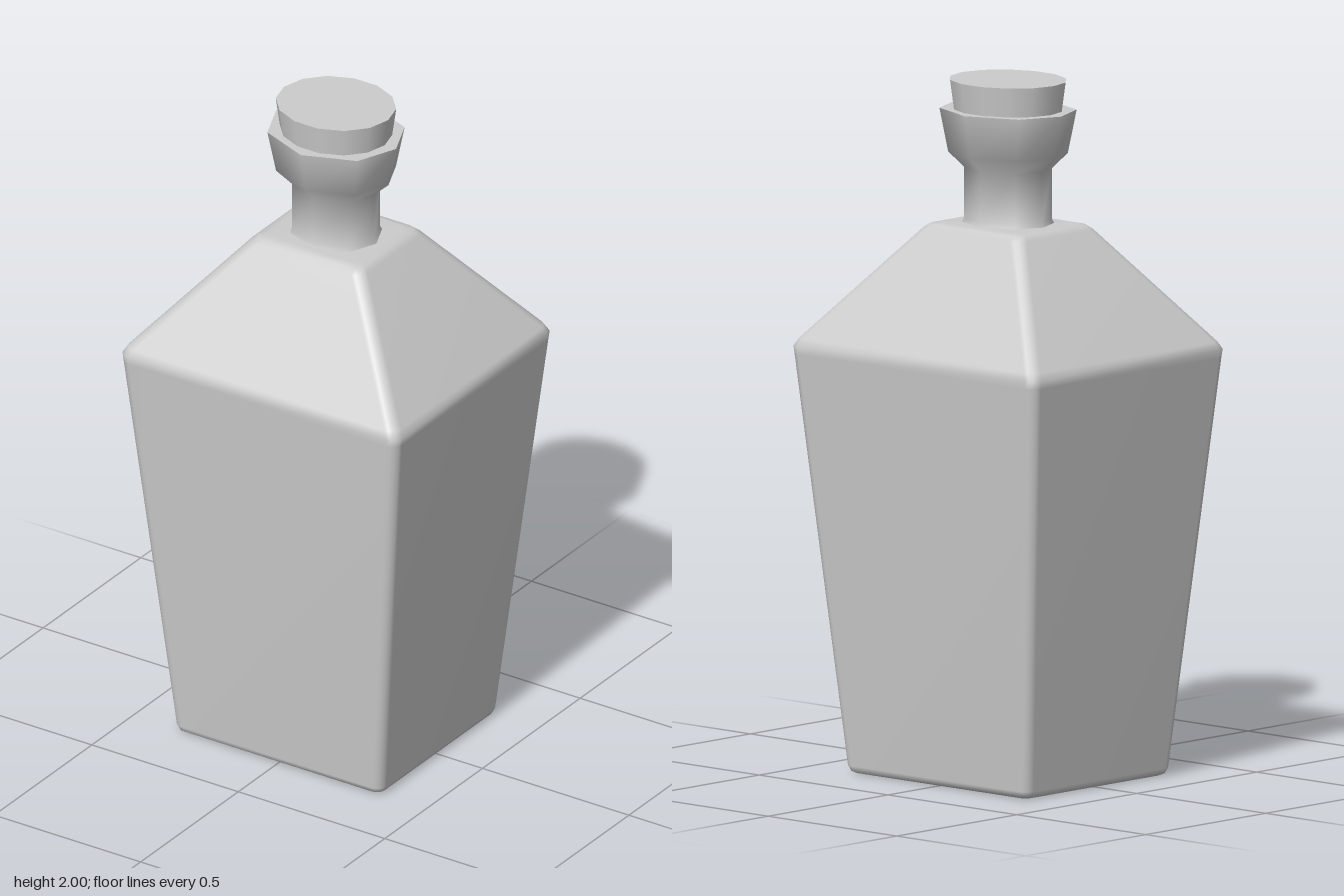
import * as THREE from 'three';
import { toCreasedNormals } from 'three/addons/utils/BufferGeometryUtils.js';

// Skin closed rings of [x, z] points, each at its own height, and cap both ends
function loft(sections) {
  const n = sections[0].ring.length, pos = [], idx = [];
  for (const { y, ring } of sections) for (const [x, z] of ring) pos.push(x, y, z);
  for (let s = 0; s < sections.length - 1; s++) {
    for (let i = 0; i < n; i++) {
      const a = s * n + i, b = s * n + (i + 1) % n;
      idx.push(a, a + n, b, b, a + n, b + n);
    }
  }
  const last = sections.length - 1, bottom = pos.length / 3, top = bottom + 1;
  pos.push(0, sections[0].y, 0, 0, sections[last].y, 0);
  for (let i = 0; i < n; i++) {
    const j = (i + 1) % n;
    idx.push(bottom, i, j, top, last * n + j, last * n + i);
  }
  const geo = new THREE.BufferGeometry();
  geo.setAttribute('position', new THREE.Float32BufferAttribute(pos, 3));
  geo.setIndex(idx);
  geo.computeVertexNormals();
  return geo;
}

// Rectangle with rounded corners: half width, half depth, corner radius
function roundedRect(w, d, r, steps = 4) {
  const pts = [];
  [[1, 1], [-1, 1], [-1, -1], [1, -1]].forEach(([sx, sz], c) => {
    for (let k = 0; k <= steps; k++) {
      const a = (c + k / steps) * Math.PI / 2;
      pts.push([sx * (w - r) + r * Math.cos(a), sz * (d - r) + r * Math.sin(a)]);
    }
  });
  return pts;
}

// Slightly flattened octagon with its corners on the axes
function octagon(rx) {
  const rz = rx * 0.88, x = rx * 0.75, z = rz * 0.67;
  return [[rx, 0], [x, z], [0, rz], [-x, z], [-rx, 0], [-x, -z], [0, -rz], [x, -z]];
}

export function createModel() {
  const group = new THREE.Group();
  const material = new THREE.MeshStandardMaterial({ color: 0xcccccc });
  const add = (name, geometry) => {
    const mesh = new THREE.Mesh(geometry, material);
    mesh.name = name;
    group.add(mesh);
    return mesh;
  };

  // Tapered body with sloping shoulders and softened edges: y, half width, half depth, corner
  const body = [
    [0, 0.335, 0.285, 0.02], [0.006, 0.347, 0.297, 0.026], [0.022, 0.355, 0.304, 0.03],
    [1.205, 0.472, 0.402, 0.032], [1.228, 0.475, 0.405, 0.034], [1.25, 0.463, 0.395, 0.034],
    [1.57, 0.196, 0.166, 0.034], [1.583, 0.18, 0.152, 0.032], [1.588, 0.155, 0.13, 0.03],
  ];
  add('body', loft(body.map(([y, w, d, r]) => ({ y, ring: roundedRect(w, d, r) }))));

  // Neck flaring into the faceted lip
  const neck = [
    [1.58, 0.142], [1.6, 0.131], [1.745, 0.131], [1.79, 0.179], [1.915, 0.205],
  ];
  add('neckAndLip', toCreasedNormals(
    loft(neck.map(([y, r]) => ({ y, ring: octagon(r) }))), 1.1));

  // Tapered stopper seated in the lip
  const stopper = add('stopper', new THREE.CylinderGeometry(0.178, 0.161, 0.12, 14)
    .rotateY(Math.PI / 2));
  stopper.scale.z = 0.88;
  stopper.position.y = 1.94;

  return group;
}
